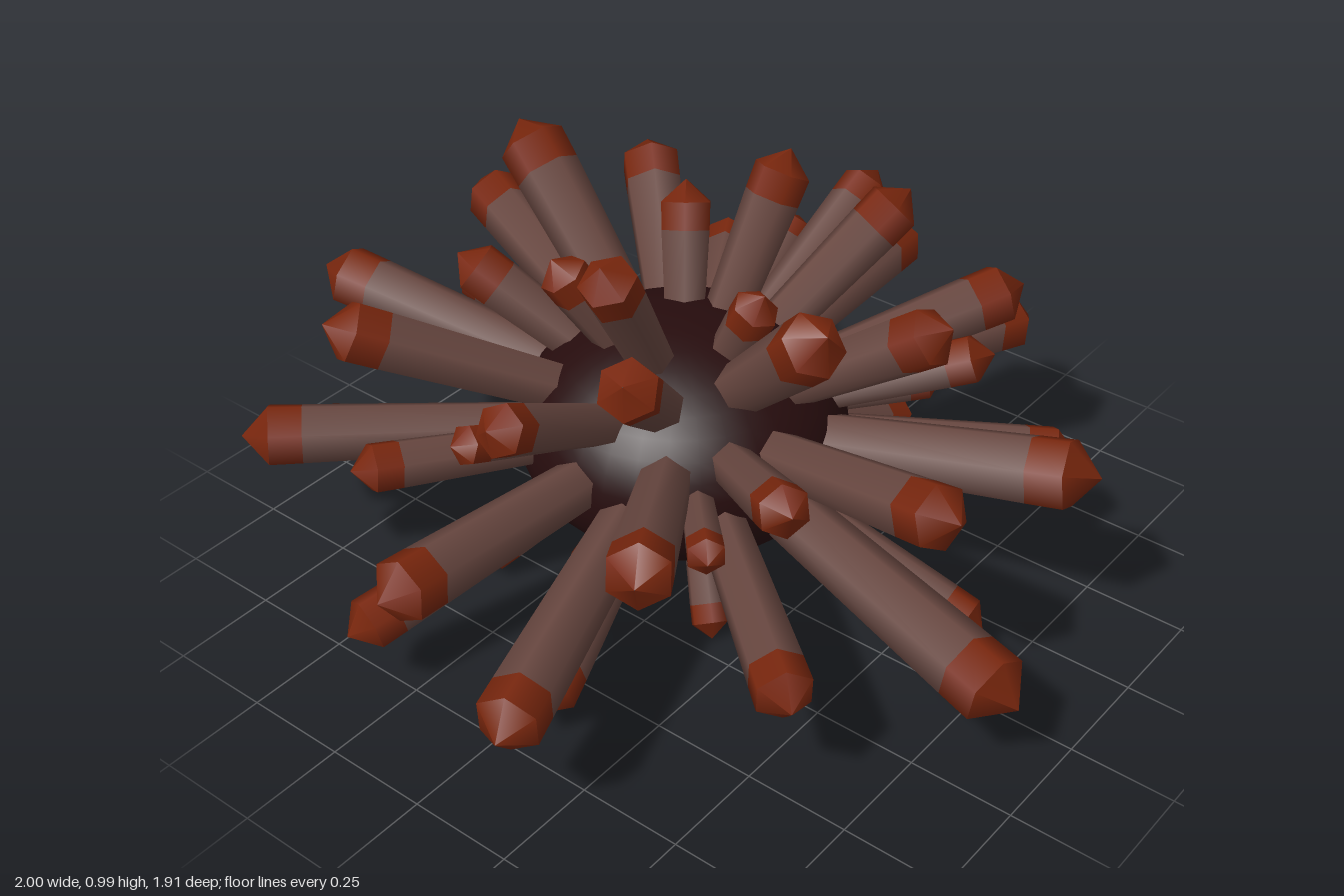
import * as THREE from 'three';

const CENTER = new THREE.Vector3(0, 0.41, -0.08);

// Spine tips as [x, y, z, radius]; paired spines are mirrored across x
const PAIRED = [
  // equator
  [0.96, 0.48, -0.1, 0.075], [1.0, 0.33, 0.25, 0.075], [0.86, 0.2, -0.33, 0.064],
  [0.73, 0.47, -0.77, 0.075], [0.49, 0.27, -0.93, 0.075], [0.27, 0.63, -0.96, 0.075],
  [0.56, 0.32, 0.65, 0.068], [0.72, 0.61, 0.38, 0.075], [0.68, 0.48, -0.47, 0.06],
  [0.62, 0.63, -0.21, 0.047],
  // lower ring
  [0.71, 0.1, 0.08, 0.068], [0.35, 0.04, -0.43, 0.055],
  [0.24, 0.03, -0.22, 0.042], [0.21, 0.02, 0.17, 0.045],
  // upper ring
  [0.51, 0.89, 0.18, 0.068], [0.69, 0.79, -0.03, 0.06], [0.33, 1.0, -0.03, 0.066],
  [0.38, 0.64, 0.51, 0.06], [0.44, 0.47, 0.34, 0.045],
];
const SINGLE = [
  [0.27, 0.52, 0.86, 0.085], [-0.17, 0.22, 0.95, 0.085], [-0.21, 0.66, 0.8, 0.075],
  [0.12, 0.09, 0.69, 0.06], [0.14, 0.84, 0.54, 0.07], [-0.15, 0.92, 0.42, 0.075],
  [0.01, 0.83, 0.14, 0.055], [-0.21, 0.87, -0.28, 0.058], [0.2, 0.91, -0.23, 0.064],
  [0.14, 0.94, -0.69, 0.08], [-0.21, 0.78, -0.57, 0.065], [0.48, 0.78, -0.58, 0.075],
  [-0.61, 0.78, -0.59, 0.075],
  [-0.06, 0.45, -0.87, 0.052], [0.12, 0.45, -0.89, 0.052],
  [-0.11, 0.11, -0.8, 0.05], [0, 0.01, -0.4, 0.045],
];

export function createModel() {
  const bodyMat = new THREE.MeshStandardMaterial({ color: 0x260c0d });
  const shaftMat = new THREE.MeshStandardMaterial({ color: 0x684740 });
  const tipMat = new THREE.MeshStandardMaterial({ color: 0x78260d });
  bodyMat.name = 'dark maroon';
  shaftMat.name = 'dusty brown';
  tipMat.name = 'rust red';

  const model = new THREE.Group();
  model.name = 'seaUrchin';

  // Squashed round body
  const body = new THREE.Mesh(new THREE.SphereGeometry(0.385, 32, 20), bodyMat);
  body.name = 'body';
  body.scale.y = 0.73;
  body.position.copy(CENTER);
  model.add(body);

  // Six-sided section with smooth normals, lying along +z from z0 to z1, one corner up
  function section(name, r0, r1, z0, z1, mat, parent) {
    const geo = new THREE.CylinderGeometry(r1, r0, z1 - z0, 6, 1, true);
    geo.rotateX(Math.PI / 2);
    geo.translate(0, 0, (z0 + z1) / 2);
    const mesh = new THREE.Mesh(geo, mat);
    mesh.name = name;
    parent.add(mesh);
  }

  // One spine: shaft widening outward, coloured band and blunt point
  function addSpine([x, y, z, r]) {
    const tip = new THREE.Vector3(x, y, z);
    const length = tip.distanceTo(CENTER);
    const spine = new THREE.Group();
    spine.name = 'spine';
    const band = length - r * 1.8, shoulder = length - r * 0.8;
    section('spineShaft', r * 0.75, r * 0.98, 0.18, band, shaftMat, spine);
    section('spineTipBand', r * 0.98, r, band, shoulder, tipMat, spine);
    section('spineTipPoint', r, 0.001, shoulder, length, tipMat, spine);
    spine.position.copy(CENTER);
    spine.lookAt(tip);
    model.add(spine);
  }

  for (const [x, y, z, r] of PAIRED) {
    addSpine([x, y, z, r]);
    addSpine([-x, y, z, r]);
  }
  SINGLE.forEach(addSpine);
  return model;
}
